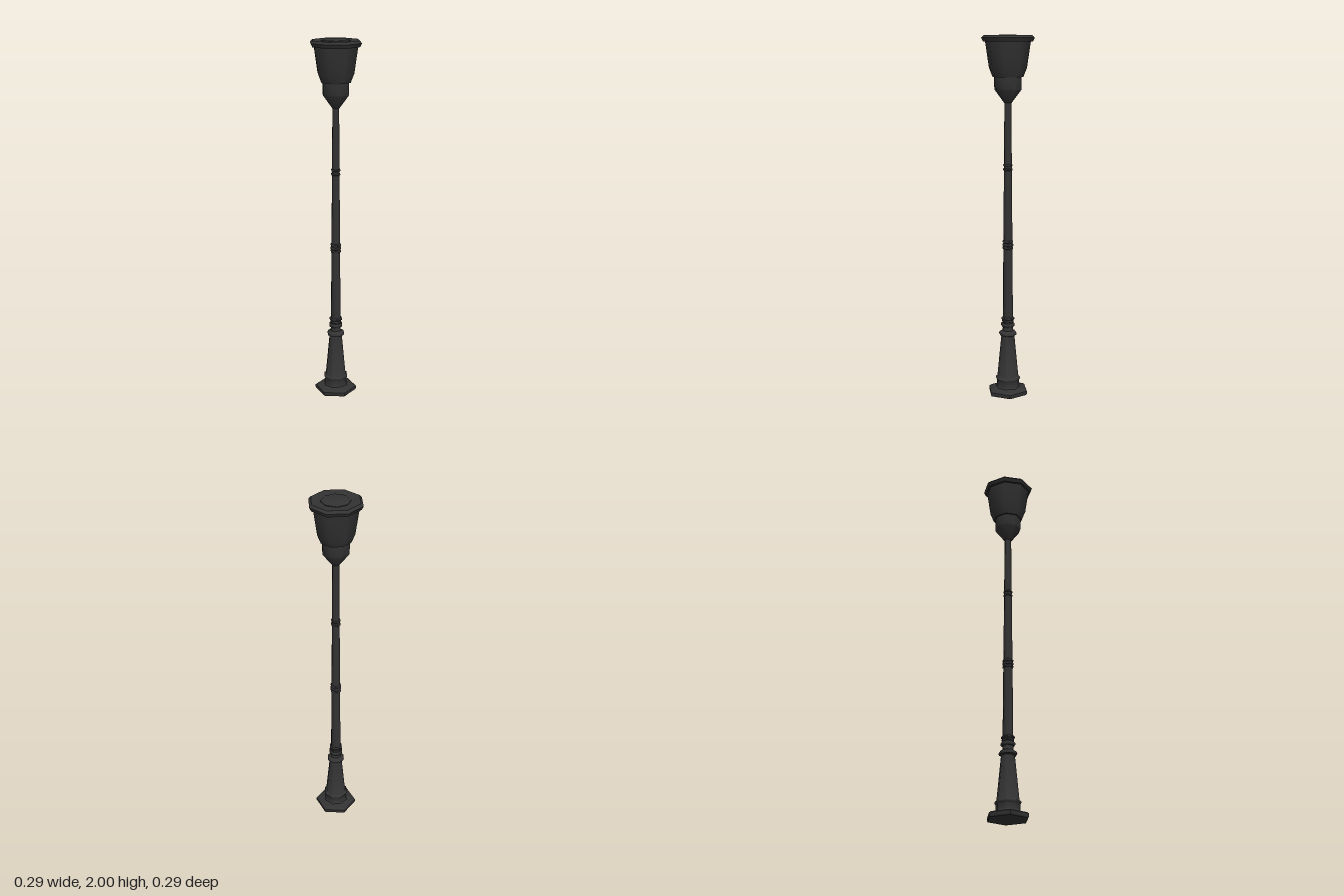
import * as THREE from 'three';
import { toCreasedNormals } from 'three/addons/utils/BufferGeometryUtils.js';

const iron = new THREE.MeshStandardMaterial({ color: 0x333333 });

// Turned part from a bottom-to-top profile of [radius, height] pairs
function turned(name, profile, sides = 8, turn = 0) {
  const points = profile.map(([r, y]) => new THREE.Vector2(r, y));
  const geometry = toCreasedNormals(new THREE.LatheGeometry(points, sides, turn), 0.88);
  const mesh = new THREE.Mesh(geometry, iron);
  mesh.name = name;
  return mesh;
}

// Small moulded collar around the pole
function collar(name, y, r, h) {
  return turned(name, [
    [0, y - h / 2], [r * 0.88, y - h / 2], [r, y - h / 4],
    [r, y + h / 4], [r * 0.88, y + h / 2], [0, y + h / 2],
  ]);
}

export function createModel() {
  const lamp = new THREE.Group();
  lamp.name = 'streetLamp';

  // Hexagonal foot
  lamp.add(turned('footPlate', [
    [0, 0], [0.113, 0], [0.117, 0.007], [0.117, 0.022], [0.105, 0.03], [0.07, 0.038], [0, 0.038],
  ], 6));

  // Tapered pedestal with its bottom moulding and top lip
  lamp.add(turned('pedestal', [
    [0, 0.03], [0.07, 0.034], [0.064, 0.045], [0.064, 0.078], [0.07, 0.086],
    [0.069, 0.094], [0.06, 0.1], [0.037, 0.338], [0.048, 0.343], [0.05, 0.352],
    [0.045, 0.361], [0.031, 0.368], [0.029, 0.385], [0, 0.385],
  ]));

  // Slender tapering pole
  lamp.add(turned('pole', [[0, 0.38], [0.029, 0.38], [0.025, 0.9], [0.019, 1.65], [0, 1.65]]));

  // Collars, in three groups up the pole
  [
    [0.402, 0.039, 0.022], [0.423, 0.033, 0.014], [0.438, 0.037, 0.014],
    [0.843, 0.030, 0.014], [0.86, 0.031, 0.014], [0.878, 0.030, 0.014],
    [1.28, 0.026, 0.012], [1.303, 0.026, 0.012],
  ].forEach(([y, r, h]) => lamp.add(collar('poleCollar', y, r, h)));

  // Cup carrying the lantern
  lamp.add(turned('lanternCup', [
    [0, 1.64], [0.02, 1.64], [0.074, 1.712], [0.075, 1.782], [0, 1.782],
  ]));

  // Flared lantern body
  lamp.add(turned('lanternBody', [
    [0, 1.778], [0.083, 1.778], [0.103, 1.828], [0.124, 1.97], [0, 1.97],
  ]));

  // Octagonal lid with a low centre disc
  lamp.add(turned('lid', [
    [0, 1.965], [0.134, 1.965], [0.144, 1.985], [0.131, 1.998], [0.08, 1.993], [0, 1.993],
  ]));
  lamp.add(turned('lidDisc', [
    [0, 1.985], [0.077, 1.985], [0.077, 1.997], [0.07, 2], [0, 2],
  ], 8, Math.PI / 8));

  return lamp;
}
